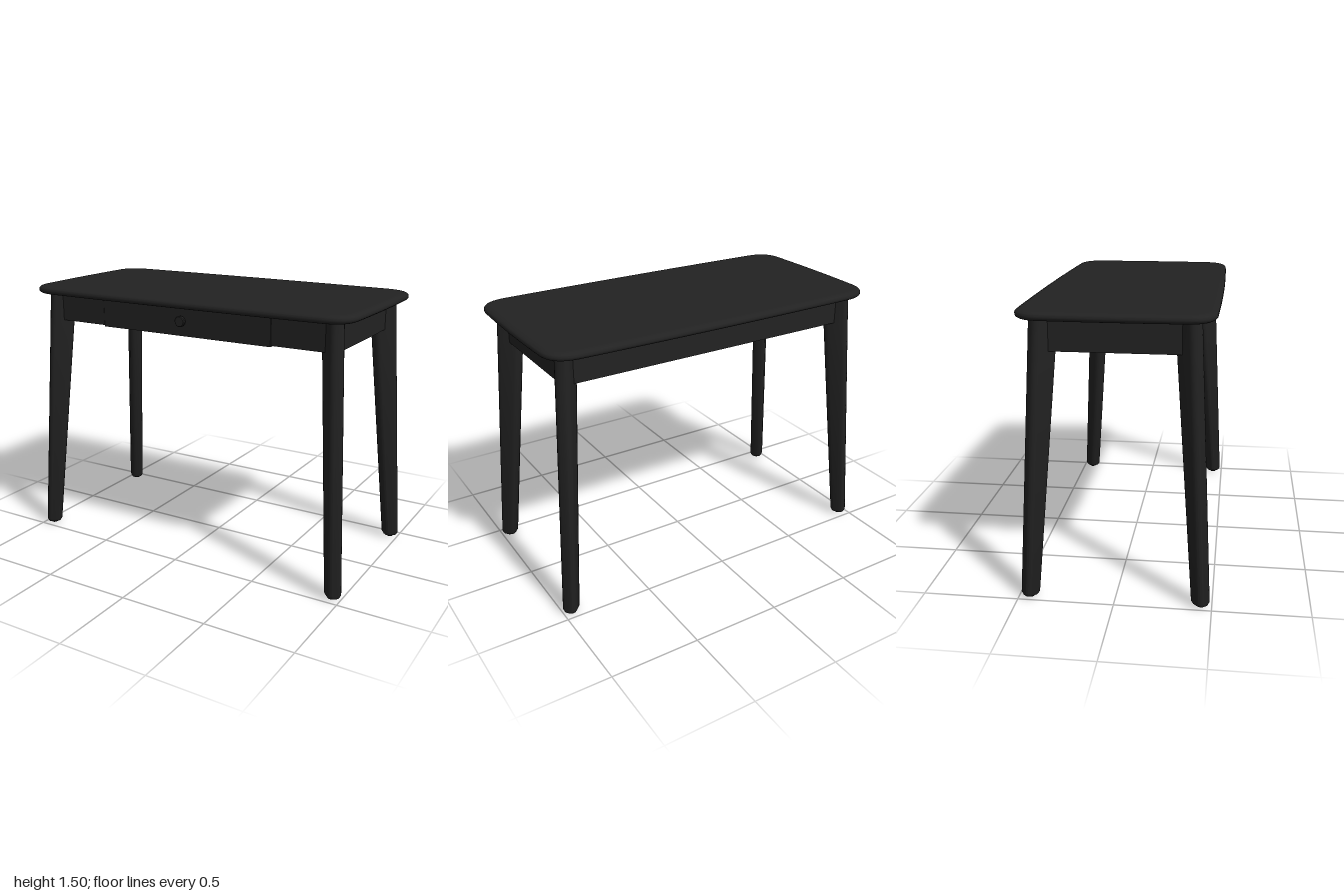
import * as THREE from 'three';
import { toCreasedNormals } from 'three/addons/utils/BufferGeometryUtils.js';

// Thin top with softly bowed sides, rounded corners and a rounded rim
function topGeometry() {
  const s = new THREE.Shape();
  s.moveTo(-0.84, -0.45);
  s.quadraticCurveTo(0, -0.47, 0.84, -0.45);
  s.quadraticCurveTo(0.95, -0.445, 0.953, -0.35);
  s.quadraticCurveTo(0.967, 0, 0.953, 0.35);
  s.quadraticCurveTo(0.95, 0.445, 0.84, 0.45);
  s.quadraticCurveTo(0, 0.47, -0.84, 0.45);
  s.quadraticCurveTo(-0.95, 0.445, -0.953, 0.35);
  s.quadraticCurveTo(-0.967, 0, -0.953, -0.35);
  s.quadraticCurveTo(-0.95, -0.445, -0.84, -0.45);
  const g = new THREE.ExtrudeGeometry(s, {
    depth: 0.006, curveSegments: 12, bevelEnabled: true,
    bevelSize: 0.04, bevelThickness: 0.02, bevelSegments: 6,
  });
  g.rotateX(-Math.PI / 2).translate(0, 1.475, 0);
  return toCreasedNormals(g, 0.6);
}

// Splayed leg: rounded rectangles set along the corner diagonal, widening upward
function legGeometry(sx, sz) {
  const levels = [ // y, centre x, centre z, length, thickness, corner radius
    [0.012, 0.953, 0.442, 0.074, 0.064, 0.024],
    [0.028, 0.952, 0.441, 0.090, 0.080, 0.030],
    [1.290, 0.866, 0.362, 0.139, 0.080, 0.030],
    [1.460, 0.859, 0.355, 0.135, 0.080, 0.030],
  ];
  const a = Math.atan2(sz, sx), n = 5, ring = 4 * n;
  const pos = [], idx = [];
  for (const [y, cx, cz, len, thick, r] of levels) {
    for (let c = 0; c < 4; c++) {
      const su = c === 0 || c === 3 ? 1 : -1, sv = c < 2 ? 1 : -1;
      for (let k = 0; k < n; k++) {
        const t = (c + k / (n - 1)) * Math.PI / 2;
        const u = su * (len / 2 - r) + r * Math.cos(t);
        const v = sv * (thick / 2 - r) + r * Math.sin(t);
        pos.push(sx * cx + u * Math.cos(a) - v * Math.sin(a), y,
          sz * cz + u * Math.sin(a) + v * Math.cos(a));
      }
    }
  }
  for (let i = 0; i < levels.length - 1; i++) {
    for (let j = 0; j < ring; j++) {
      const p = i * ring + j, q = i * ring + (j + 1) % ring;
      idx.push(p, p + ring, q, q, p + ring, q + ring);
    }
  }
  const base = pos.length / 3, last = (levels.length - 1) * ring;
  pos.push(sx * levels[0][1], levels[0][0], sz * levels[0][2]);
  pos.push(sx * levels[3][1], levels[3][0], sz * levels[3][2]);
  for (let j = 0; j < ring; j++) {
    const k = (j + 1) % ring;
    idx.push(base, j, k, base + 1, last + k, last + j);
  }
  const g = new THREE.BufferGeometry();
  g.setAttribute('position', new THREE.Float32BufferAttribute(pos, 3));
  g.setIndex(idx);
  return toCreasedNormals(g, 0.6);
}

export function createModel() {
  const black = new THREE.MeshStandardMaterial({ color: 0x222222 });
  black.name = 'black';
  const table = new THREE.Group();
  table.name = 'table';

  const add = (name, geometry, parent = table) => {
    const m = new THREE.Mesh(geometry, black);
    m.name = name;
    parent.add(m);
    return m;
  };
  // Box given by its limits on each axis
  const box = (name, x0, x1, y0, y1, z0, z1, parent) =>
    add(name, new THREE.BoxGeometry(x1 - x0, y1 - y0, z1 - z0)
      .translate((x0 + x1) / 2, (y0 + y1) / 2, (z0 + z1) / 2), parent);

  add('tableTop', topGeometry());

  // Legs with foot pads and diagonal corner braces
  for (const sx of [-1, 1]) {
    for (const sz of [-1, 1]) {
      add('leg', legGeometry(sx, sz));
      add('footPad', new THREE.CylinderGeometry(0.022, 0.018, 0.016, 16)
        .translate(sx * 0.953, 0.008, sz * 0.442));
      const brace = add('cornerBrace', new THREE.BoxGeometry(0.2, 0.11, 0.025));
      brace.position.set(sx * 0.79, 1.385, sz * 0.285);
      brace.rotation.y = sx * sz * Math.PI / 4;
    }
  }

  // Aprons under the top
  box('backApron', -0.84, 0.84, 1.297, 1.458, -0.385, -0.35);
  for (const s of [-1, 1]) {
    const span = (a, b) => (s > 0 ? [a, b] : [-b, -a]);
    box('sideApron', ...span(0.85, 0.885), 1.292, 1.458, -0.335, 0.335);
    box('frontApron', ...span(0.533, 0.84), 1.297, 1.458, 0.35, 0.385);
    box('drawerRunner', ...span(0.535, 0.56), 1.33, 1.458, -0.35, 0.35);
  }
  box('frontRail', -0.54, 0.54, 1.44, 1.458, 0.34, 0.375);

  // Drawer with a round knob
  const drawer = new THREE.Group();
  drawer.name = 'drawer';
  table.add(drawer);
  box('drawerFront', -0.53, 0.53, 1.29, 1.447, 0.355, 0.387, drawer);
  box('drawerBottom', -0.52, 0.52, 1.305, 1.317, -0.29, 0.355, drawer);
  box('drawerBack', -0.52, 0.52, 1.305, 1.43, -0.305, -0.285, drawer);
  for (const s of [-1, 1]) {
    box('drawerSide', s * 0.52 - 0.01, s * 0.52 + 0.01, 1.3, 1.43, -0.305, 0.355, drawer);
  }
  const knobProfile = [[0, 0], [0.018, 0], [0.018, 0.015], [0.03, 0.022], [0.03, 0.035], [0.026, 0.04], [0, 0.04]];
  add('drawerKnob', toCreasedNormals(new THREE.LatheGeometry(
    knobProfile.map(([r, h]) => new THREE.Vector2(r, h)), 24)
    .rotateX(Math.PI / 2).translate(0, 1.375, 0.385), 0.6), drawer);

  return table;
}
